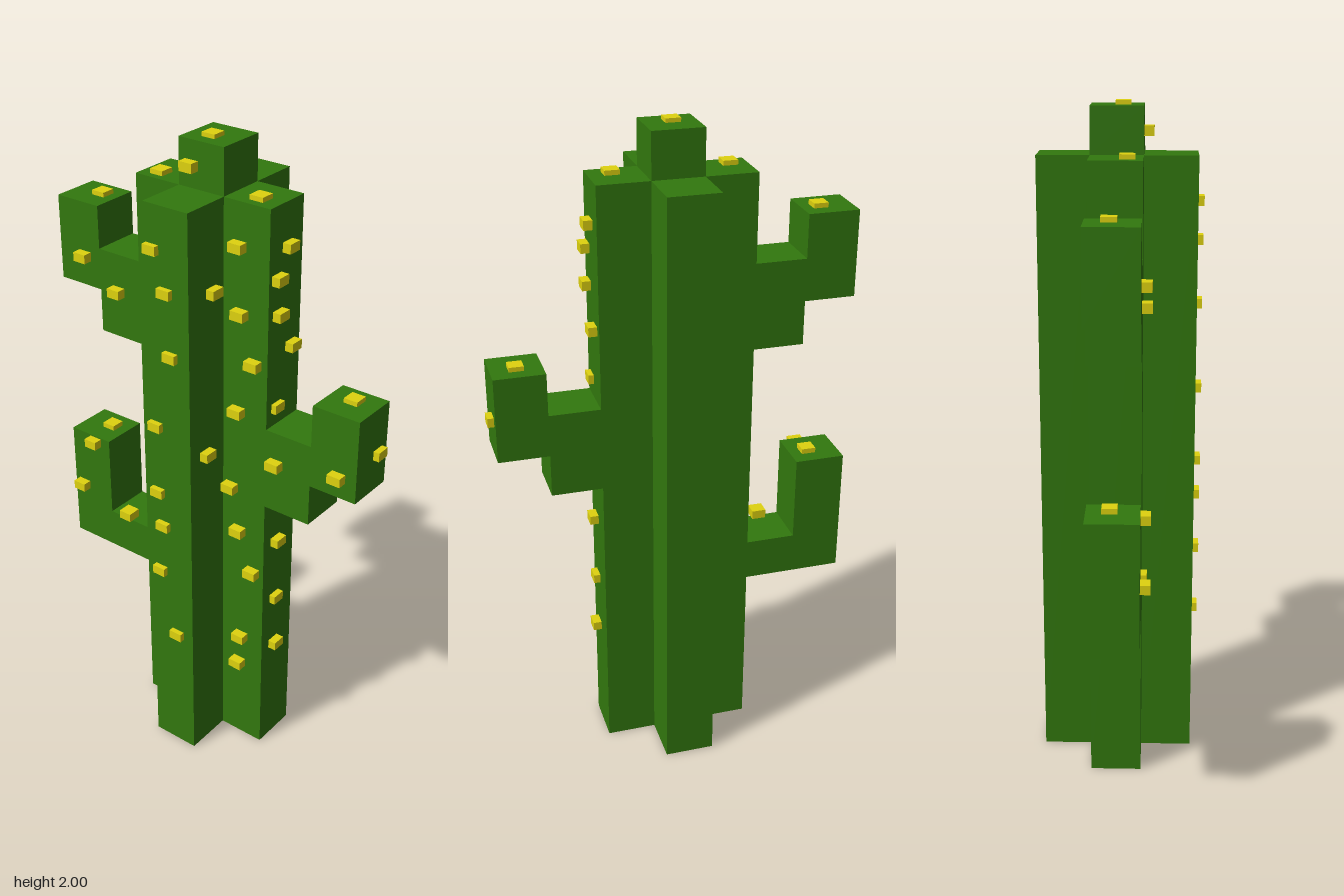
import * as THREE from 'three';

export function createModel() {
  const model = new THREE.Group();
  const green = new THREE.MeshStandardMaterial({ color: 0x32780e });
  const yellow = new THREE.MeshStandardMaterial({ color: 0xdfd30f });

  // Box from its lower and upper limits
  function block(parent, name, material, [x0, x1], [y0, y1], [z0, z1]) {
    const mesh = new THREE.Mesh(new THREE.BoxGeometry(x1 - x0, y1 - y0, z1 - z0), material);
    mesh.position.set((x0 + x1) / 2, (y0 + y1) / 2, (z0 + z1) / 2);
    mesh.name = name;
    parent.add(mesh);
  }
  function group(name) {
    const g = new THREE.Group();
    g.name = name;
    model.add(g);
    return g;
  }

  // Cross-shaped trunk: one wide bar plus a front and a back rib
  const core = [-0.085, 0.068], depth = [-0.087, 0.065], height = [0, 1.855];
  const trunk = group('trunk');
  block(trunk, 'wideBar', green, [-0.24, 0.222], height, depth);
  block(trunk, 'frontRib', green, core, height, [depth[1], 0.22]);
  block(trunk, 'backRib', green, core, height, [-0.24, depth[0]]);
  block(trunk, 'crown', green, core, [1.855, 1.99], depth);

  // Arms: a bracket against the trunk and an upright tip
  const arms = [
    ['upperRightArm', [-0.393, -0.24], [1.325, 1.59], [-0.547, -0.393], [1.46, 1.722]],
    ['lowerRightArm', [-0.393, -0.24], [0.532, 0.662], [-0.547, -0.393], [0.532, 0.928]],
    ['leftArm', [0.222, 0.377], [0.93, 1.192], [0.377, 0.53], [1.062, 1.324]],
  ];
  for (const [name, bx, by, tx, ty] of arms) {
    const arm = group(name);
    block(arm, 'armBracket', green, bx, by, depth);
    block(arm, 'armTip', green, tx, ty, depth);
  }

  // Spines: small blocks half sunk into the surface
  const spines = group('spines');
  function spine(x, y, z, w, h, d) {
    block(spines, 'spine', yellow, [x - w / 2, x + w / 2], [y - h / 2, y + h / 2], [z - d / 2, z + d / 2]);
  }

  // Front of the rib
  for (const [x, y] of [[-0.055, 1.728], [-0.01, 1.61], [0.005, 1.42], [-0.055, 1.18],
    [-0.053, 0.955], [-0.035, 0.84], [-0.05, 0.672], [0.01, 0.445]]) {
    spine(x, y, 0.217, 0.044, 0.028, 0.04);
  }
  // Front of the wide bar, arms and crown
  for (const [x, y] of [[0.123, 1.73], [0.132, 1.532], [0.18, 1.39], [0.124, 1.222],
    [0.102, 0.957], [0.132, 0.81], [0.185, 0.675], [0.144, 0.408], [0.136, 0.3],
    [0.26, 1.092], [0.472, 1.13], [-0.322, 1.473], [-0.45, 1.555], [-0.45, 0.91],
    [-0.508, 0.73], [-0.041, 1.92]]) {
    spine(x, y, 0.074, 0.044, 0.028, 0.04);
  }
  // Left flank: x of the surface, y, z
  for (const [x, y, z] of [[0.222, 1.73, -0.016], [0.222, 1.648, 0.031], [0.222, 1.54, 0.023],
    [0.222, 1.425, -0.041], [0.212, 1.25, 0.02], [0.222, 0.78, 0.007], [0.216, 0.565, 0.006],
    [0.222, 0.385, 0.006], [0.523, 1.18, -0.04], [0.068, 1.6, 0.122], [0.068, 1.097, 0.153]]) {
    spine(x + 0.004, y, z, 0.044, 0.028, 0.044);
  }
  // Upward-facing spines
  for (const [x, y, z] of [[-0.447, 1.722, -0.02], [-0.185, 1.855, 0.021], [-0.014, 1.988, 0.006],
    [0.156, 1.855, 0.017], [0.455, 1.324, -0.025], [-0.45, 0.93, -0.02], [-0.322, 0.68, 0.06]]) {
    spine(x, y, z, 0.044, 0.028, 0.044);
  }
  return model;
}
